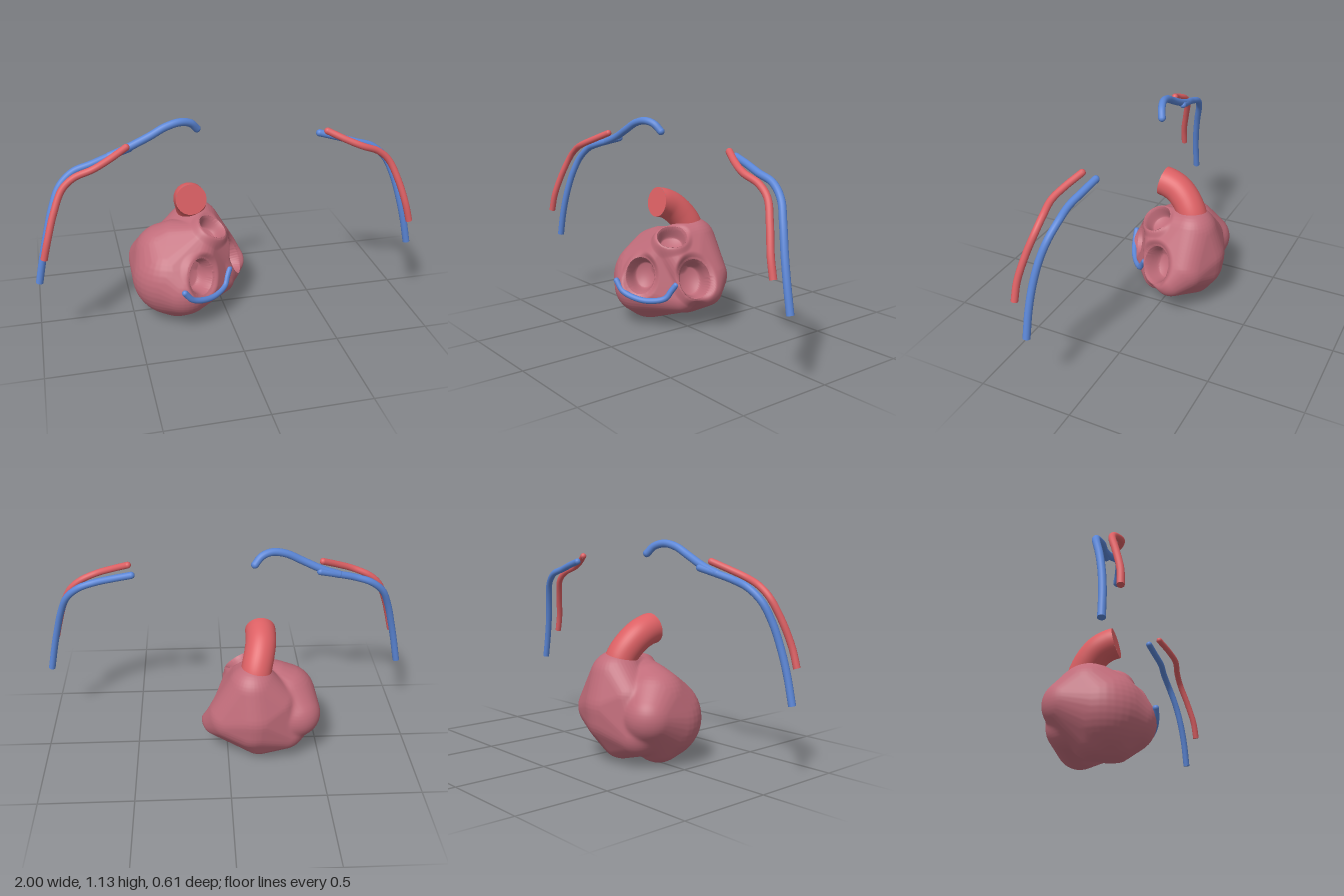
import * as THREE from 'three';
import { mergeGeometries, mergeVertices } from 'three/addons/utils/BufferGeometryUtils.js';
import { ConvexGeometry } from 'three/addons/geometries/ConvexGeometry.js';

const V = (a) => new THREE.Vector3(...a);
const mat = (name, color) => Object.assign(new THREE.MeshStandardMaterial({ color }), { name });

// End of a vessel: a flat disc or a rounded dome, facing along dir
function endCap(pos, dir, r, round) {
  const g = round
    ? new THREE.SphereGeometry(r, 16, 8, 0, Math.PI * 2, 0, Math.PI / 2).rotateX(Math.PI / 2)
    : new THREE.CircleGeometry(r, 24);
  g.applyQuaternion(new THREE.Quaternion().setFromUnitVectors(new THREE.Vector3(0, 0, 1), dir));
  return g.translate(pos.x, pos.y, pos.z);
}

function vessel(name, pts, r, material, roundStart, roundEnd, sides = 16) {
  const curve = new THREE.CatmullRomCurve3(pts.map(V));
  const geo = mergeGeometries([
    new THREE.TubeGeometry(curve, 72, r, sides),
    endCap(curve.getPoint(0), curve.getTangent(0).negate(), r, roundStart),
    endCap(curve.getPoint(1), curve.getTangent(1), r, roundEnd),
  ]);
  const mesh = new THREE.Mesh(geo, material);
  mesh.name = name;
  return mesh;
}

// Each chamber is a skin stretched over balls: x, y, z, radius
const MIDDLE = V([-0.16, 0.30, 0]);
const BACK_CHAMBER = [
  [0.05, 0.215, -0.085, 0.093], [-0.02, 0.27, -0.13, 0.13], [-0.14, 0.30, -0.15, 0.157],
  [-0.14, 0.24, -0.15, 0.15], [-0.13, 0.44, -0.125, 0.14], [-0.24, 0.35, -0.14, 0.12],
  [-0.30, 0.18, -0.13, 0.12], [-0.17, 0.14, -0.12, 0.12], [-0.105, 0.455, 0.055, 0.085],
  [0.025, 0.27, 0.0, 0.09],
];
const FRONT_CHAMBER = [
  [-0.28, 0.235, 0.03, 0.22], [-0.37, 0.27, -0.12, 0.13], [-0.24, 0.21, 0.13, 0.154],
  [-0.31, 0.145, 0.0, 0.138], [-0.26, 0.18, 0.06, 0.17], [-0.31, 0.33, -0.03, 0.17],
  [-0.26, 0.38, -0.02, 0.14], [-0.02, 0.17, 0.03, 0.08], [-0.115, 0.445, 0.055, 0.085],
];

// Planes of the skin, scaled so that 1 / (n . d) is the distance from the middle
function skinPlanes(balls) {
  const points = [];
  for (const [x, y, z, r] of balls) {
    const s = new THREE.SphereGeometry(r, 36, 22).translate(x, y, z).attributes.position;
    for (let i = 0; i < s.count; i++) {
      if (i % 37 !== 36) points.push(new THREE.Vector3().fromBufferAttribute(s, i).sub(MIDDLE));
    }
  }
  const pos = new ConvexGeometry(points).attributes.position;
  const planes = [], tri = new THREE.Triangle();
  for (let i = 0; i < pos.count; i += 3) {
    tri.setFromAttributeAndIndices(pos, i, i + 1, i + 2);
    if (tri.getArea() < 1e-8) continue;
    const n = tri.getNormal(new THREE.Vector3());
    planes.push(n.divideScalar(n.dot(tri.a)));
  }
  return planes;
}

function skinDistance(planes, d) {
  let most = 0;
  for (const n of planes) most = Math.max(most, n.x * d.x + n.y * d.y + n.z * d.z);
  return 1 / most;
}

// Openings: centre, outward normal, radius across, radius along the slope, depth
const OPENINGS = [
  [[-0.16, 0.295, 0.20], [0.55, 0.22, 0.80], 0.083, 0.100, 0.10],
  [[0.06, 0.29, 0.00], [0.87, 0.36, 0.32], 0.088, 0.107, 0.11],
  [[-0.065, 0.507, 0.055], [0.46, 0.84, 0.28], 0.082, 0.080, 0.08],
].map(([c, n, a, b, depth]) => {
  const normal = V(n).normalize();
  const across = new THREE.Vector3(0, 1, 0).cross(normal).normalize();
  return { c: V(c), normal, across, along: normal.clone().cross(across), a, b, depth };
});

// Flatten the skin around an opening, then sink a steep-walled bowl with a clean rim
function carve(p, h) {
  if (p.clone().sub(MIDDLE).dot(h.normal) < 0) return;
  const q = p.clone().sub(h.c);
  const u = q.dot(h.across), v = q.dot(h.along);
  const rho = Math.hypot(u / h.a, v / h.b);
  p.addScaledVector(h.normal, -q.dot(h.normal) * (1 - THREE.MathUtils.smoothstep(rho, 0.95, 1.4)));
  if (Math.abs(rho - 1) < 0.06) {
    p.addScaledVector(h.across, u * (1 / rho - 1)).addScaledVector(h.along, v * (1 / rho - 1));
  } else if (rho < 1) {
    const wall = 1 - THREE.MathUtils.smoothstep(rho, 0.7, 1);
    p.addScaledVector(h.normal, -h.depth * wall * (1 - 0.3 * rho * rho));
  }
}

function heartGeometry() {
  let geo = new THREE.SphereGeometry(1, 256, 160);
  geo.deleteAttribute('uv');
  geo.deleteAttribute('normal');
  geo = mergeVertices(geo, 1e-5);
  const back = skinPlanes(BACK_CHAMBER), front = skinPlanes(FRONT_CHAMBER);
  const pos = geo.attributes.position;
  for (let i = 0; i < pos.count; i++) {
    const d = new THREE.Vector3().fromBufferAttribute(pos, i).normalize();
    // Soft maximum of both chambers leaves a groove between them
    const a = skinDistance(back, d), b = skinDistance(front, d);
    const big = Math.max(a, b), small = Math.min(a, b);
    const p = MIDDLE.clone().addScaledVector(d, big * Math.pow(1 + Math.pow(small / big, 40), 1 / 40));
    for (const h of OPENINGS) carve(p, h);
    pos.setXYZ(i, p.x, Math.max(p.y, 0), p.z);
  }
  geo.computeVertexNormals();
  return geo;
}

export function createModel() {
  const muscle = mat('heart muscle', 0xc06c7a);
  const red = mat('artery red', 0xdc6064);
  const blue = mat('vein blue', 0x5b86d6);
  const model = new THREE.Group();
  model.name = 'heartAndVessels';

  const heart = new THREE.Mesh(heartGeometry(), muscle);
  heart.name = 'heart';
  model.add(heart);

  // Great artery arching up and forward from the neck
  model.add(vessel('greatArtery', [
    [-0.18, 0.683, 0.07], [-0.18, 0.677, 0.038], [-0.177, 0.653, -0.018], [-0.165, 0.608, -0.07],
    [-0.15, 0.55, -0.11], [-0.14, 0.48, -0.135],
  ], 0.081, red, false, false, 40));

  // Small vein wrapping the lower front of the heart
  model.add(vessel('heartVein', [
    [-0.262, 0.26, 0.287], [-0.22, 0.21, 0.277], [-0.15, 0.18, 0.245],
    [-0.085, 0.17, 0.20], [-0.018, 0.188, 0.14], [0.002, 0.23, 0.113], [0.018, 0.262, 0.095],
  ], 0.016, blue, true, true));

  // Paired arm vessels
  const armArtery = [
    [0.51, 1.035, 0.16], [0.60, 0.995, 0.202], [0.68, 0.962, 0.225], [0.77, 0.925, 0.217],
    [0.83, 0.872, 0.222], [0.88, 0.765, 0.253], [0.92, 0.64, 0.283], [0.945, 0.545, 0.29],
  ];
  const armVein = [
    [0.49, 1.005, 0.10], [0.58, 0.982, 0.115], [0.68, 0.953, 0.133], [0.77, 0.922, 0.133],
    [0.84, 0.86, 0.15], [0.885, 0.76, 0.178], [0.92, 0.64, 0.20], [0.95, 0.52, 0.212],
    [0.98, 0.38, 0.217],
  ];
  for (const [side, s] of [['left', 1], ['right', -1]]) {
    const flip = (pts) => pts.map(([x, y, z]) => [s * x, y, z]);
    model.add(vessel(side + 'ArmArtery', flip(armArtery), 0.0175, red, true, false));
    model.add(vessel(side + 'ArmVein', flip(armVein), 0.0185, blue, true, false));
  }

  // Vein running from the right arm towards the middle
  model.add(vessel('collarVein', [
    [-0.59, 0.98, 0.117], [-0.50, 1.013, 0.112], [-0.39, 1.065, 0.116], [-0.31, 1.105, 0.112],
    [-0.235, 1.12, 0.101], [-0.18, 1.105, 0.083], [-0.145, 1.068, 0.065],
  ], 0.02, blue, true, true));

  return model;
}
